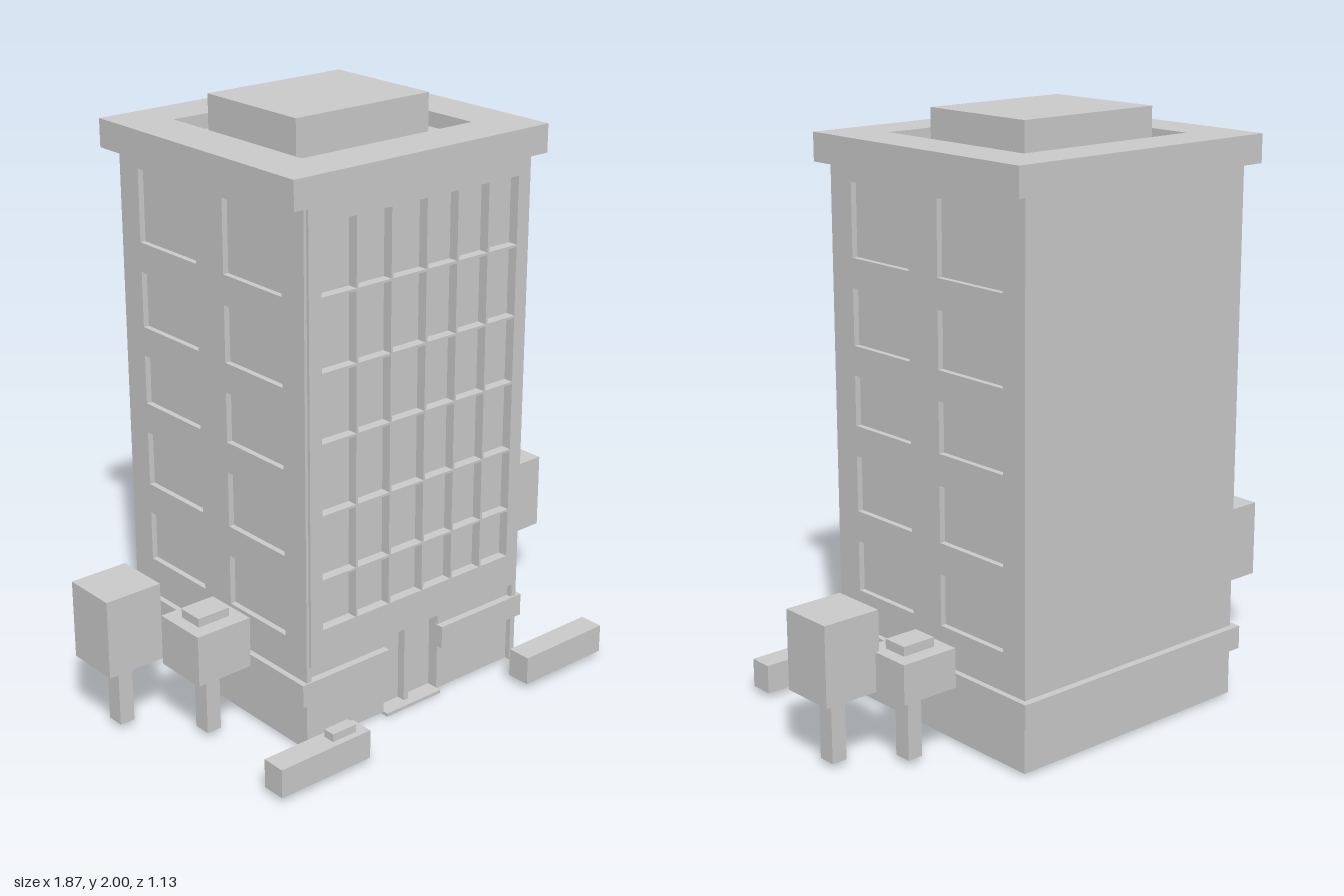
import * as THREE from 'three';

export function createModel() {
  const model = new THREE.Group();
  const material = new THREE.MeshStandardMaterial({ color: 0xcccccc, flatShading: true });

  function add(name, geometry, parent = model) {
    const mesh = new THREE.Mesh(geometry, material);
    mesh.name = name;
    parent.add(mesh);
    return mesh;
  }

  // Box given by its limits on each axis
  function block(name, x0, x1, y0, y1, z0, z1, parent) {
    const g = new THREE.BoxGeometry(x1 - x0, y1 - y0, z1 - z0);
    g.translate((x0 + x1) / 2, (y0 + y1) / 2, (z0 + z1) / 2);
    return add(name, g, parent);
  }

  function rect(path, x0, x1, y0, y1) {
    path.moveTo(x0, y0);
    path.lineTo(x1, y0);
    path.lineTo(x1, y1);
    path.lineTo(x0, y1);
    path.closePath();
    return path;
  }

  // Rectangular panel with rectangular openings
  function panel(outer, openings, depth) {
    const shape = rect(new THREE.Shape(), ...outer);
    for (const o of openings) shape.holes.push(rect(new THREE.Path(), ...o));
    return new THREE.ExtrudeGeometry(shape, { depth, bevelEnabled: false });
  }

  // Core of the tower; its faces are the recessed glass
  block('towerCore', -0.465, 0.43, 0.01, 1.83, -0.54, 0.33);
  block('frontGlass', -0.465, 0.43, 0.31, 1.83, 0.33, 0.365);

  // Front facade with a grid of windows
  const cols = [-0.43, -0.285, -0.145, 0, 0.13, 0.262, 0.392];
  const rows = [0.425, 0.6, 0.82, 1.06, 1.29, 1.53, 1.765];
  const frontWindows = [];
  const m = 0.004;
  for (let c = 0; c < 6; c++) {
    for (let r = 0; r < 6; r++) {
      frontWindows.push([cols[c] + m, cols[c + 1] - m, rows[r] + m, rows[r + 1] - m]);
    }
  }
  const facade = panel([-0.475, 0.438, 0.31, 1.83], frontWindows, 0.037);
  facade.translate(0, 0, 0.363);
  add('frontFacade', facade);

  // Side walls with two columns of windows
  const sideRows = [[0.385, 0.56], [0.665, 0.855], [0.96, 1.13], [1.23, 1.42], [1.52, 1.765]];
  const sideWindows = [];
  for (const [y0, y1] of sideRows) {
    sideWindows.push([0, 0.285, y0, y1], [-0.44, -0.14, y0, y1]);
  }
  for (const [name, x] of [['leftWall', 0.45], ['rightWall', -0.465]]) {
    const wall = panel([-0.54, 0.39, 0.01, 1.83], sideWindows, 0.02);
    wall.rotateY(-Math.PI / 2);
    wall.translate(x, 0, 0);
    add(name, wall);
  }

  // Ground floor and recessed entrance
  block('groundFrontRight', -0.466, -0.14, 0.01, 0.31, 0.33, 0.37);
  block('groundFrontLeft', 0.1, 0.431, 0.01, 0.31, 0.33, 0.37);
  block('doorPost', -0.04, -0.02, 0.01, 0.31, 0.33, 0.36);
  block('entranceStep', -0.14, 0.1, 0, 0.012, 0.31, 0.39);

  // Belt course, open at the entrance
  const belt = new THREE.Group();
  belt.name = 'beltCourse';
  model.add(belt);
  block('beltFrontRight', -0.505, -0.14, 0.175, 0.255, 0.36, 0.396, belt);
  block('beltFrontLeft', 0.097, 0.47, 0.175, 0.255, 0.36, 0.396, belt);
  block('beltRight', -0.505, -0.48, 0.175, 0.255, -0.565, 0.36, belt);
  block('beltLeft', 0.445, 0.47, 0.175, 0.255, -0.565, 0.36, belt);
  block('beltBack', -0.48, 0.445, 0.175, 0.255, -0.565, -0.535, belt);

  // Roof parapet with a sunken deck and plant room
  const parapet = panel([-0.54, 0.497, -0.415, 0.565], [[-0.37, 0.325, -0.245, 0.395]], 0.095);
  parapet.rotateX(-Math.PI / 2);
  parapet.translate(0, 1.82, 0);
  add('roofParapet', parapet);
  block('roofDeck', -0.38, 0.335, 1.82, 1.865, -0.405, 0.255);
  block('roofPlantRoom', -0.29, 0.255, 1.86, 2, -0.32, 0.12);

  // Trees: centre x, centre z, crown top, height of the cap
  const trees = [
    [-0.833, -0.147, 0.52, 0],
    [-0.648, 0.08, 0.425, 0.03],
    [0.828, -0.072, 0.52, 0],
    [0.636, -0.212, 0.383, 0.032],
  ];
  for (const [x, z, top, cap] of trees) {
    const tree = new THREE.Group();
    tree.name = 'tree';
    model.add(tree);
    block('crown', x - 0.103, x + 0.103, 0.25, top, z - 0.098, z + 0.098, tree);
    if (cap) block('crownCap', x - 0.06, x + 0.06, top, top + cap, z - 0.045, z + 0.045, tree);
    const tx = x + (x < 0 ? 0 : 0.01);
    block('trunk', tx - 0.027, tx + 0.027, 0.02, 0.25, z - 0.031, z + 0.031, tree);
  }

  // Low planters in front
  block('rightPlanter', -0.73, -0.37, 0.02, 0.12, 0.48, 0.565);
  block('rightPlanterShrub', -0.505, -0.41, 0.12, 0.147, 0.5, 0.542);
  block('leftPlanter', 0.34, 0.7, 0.02, 0.12, 0.48, 0.565);

  return model;
}
